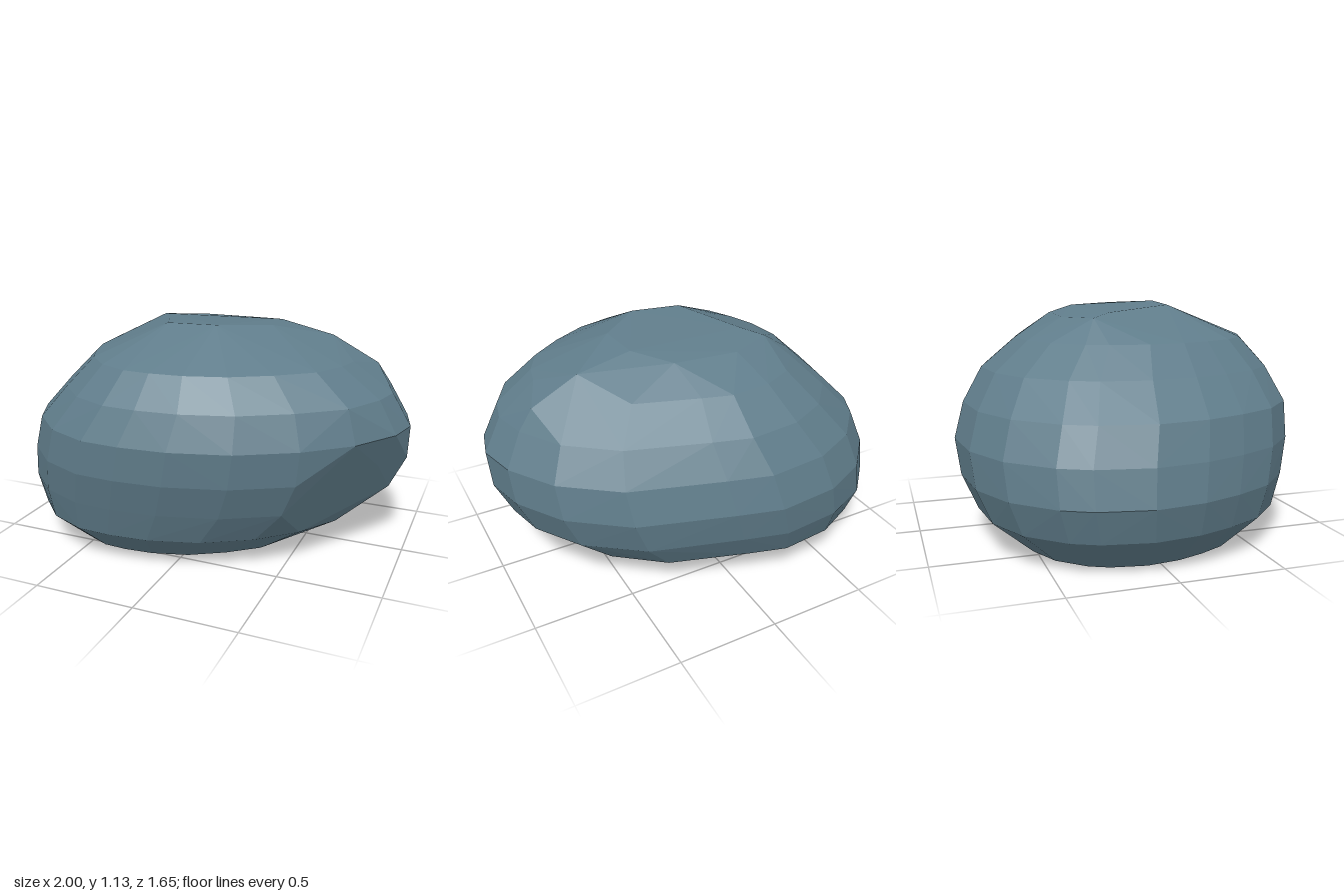
import * as THREE from 'three';
import { ConvexGeometry } from 'three/addons/geometries/ConvexGeometry.js';

// Widest plan outline of the boulder, as x, z
const outline = [
  [-1, -0.1], [-0.95, -0.36], [-0.88, -0.5], [-0.7, -0.69], [-0.46, -0.8], [-0.15, -0.83],
  [0.07, -0.77], [0.53, -0.63], [0.8, -0.43], [0.95, -0.2], [1, 0], [0.96, 0.17],
  [0.84, 0.39], [0.6, 0.57], [0.33, 0.72], [0.04, 0.8], [-0.2, 0.82], [-0.4, 0.81],
  [-0.62, 0.72], [-0.8, 0.55], [-0.9, 0.35], [-0.97, 0.15],
];

// Horizontal sections: y, x min, x max, z min, z max
const levels = [
  [0, -0.78, 0.43, -0.53, 0.53],
  [0.17, -0.95, 0.72, -0.73, 0.72],
  [0.33, -1, 0.91, -0.8, 0.77],
  [0.5, -0.97, 0.99, -0.82, 0.82],
  [0.67, -0.91, 1, -0.77, 0.83],
  [0.83, -0.75, 0.91, -0.67, 0.77],
  [0.97, -0.6, 0.72, -0.5, 0.65],
];

// Sloping crown and its shoulders
const crown = [
  [-0.16, 1.125, 0.26], [0.1, 1.135, 0.28], [0.32, 1.12, 0.1], [0.3, 1.11, -0.12],
  [0.15, 1.08, -0.28], [-0.18, 1.075, -0.3], [-0.32, 1.1, -0.1],
  [-0.4, 1.08, -0.2], [0.57, 1.05, -0.12], [0.8, 0.93, -0.12],
];

// Large flat break on the lower left side: x may not pass this plane
const breakPlane = (y, z) => 0.692 - 0.709 * z + 0.624 * y;

export function createModel() {
  const group = new THREE.Group();
  group.name = 'boulder';

  const points = crown.map((p) => new THREE.Vector3(...p));
  for (const [y, x0, x1, z0, z1] of levels) {
    for (const [u, v] of outline) {
      const x = (x0 + x1) / 2 + (u * (x1 - x0)) / 2;
      const z = (z0 + z1) / 2 + ((v / 0.825) * (z1 - z0)) / 2;
      points.push(new THREE.Vector3(Math.min(x, breakPlane(y, z)), y, z));
    }
  }

  const stone = new THREE.MeshStandardMaterial({ color: 0x607d8b });
  stone.name = 'blueGreyStone';
  stone.flatShading = true;

  const rock = new THREE.Mesh(new ConvexGeometry(points), stone);
  rock.name = 'rock';
  group.add(rock);
  return group;
}
